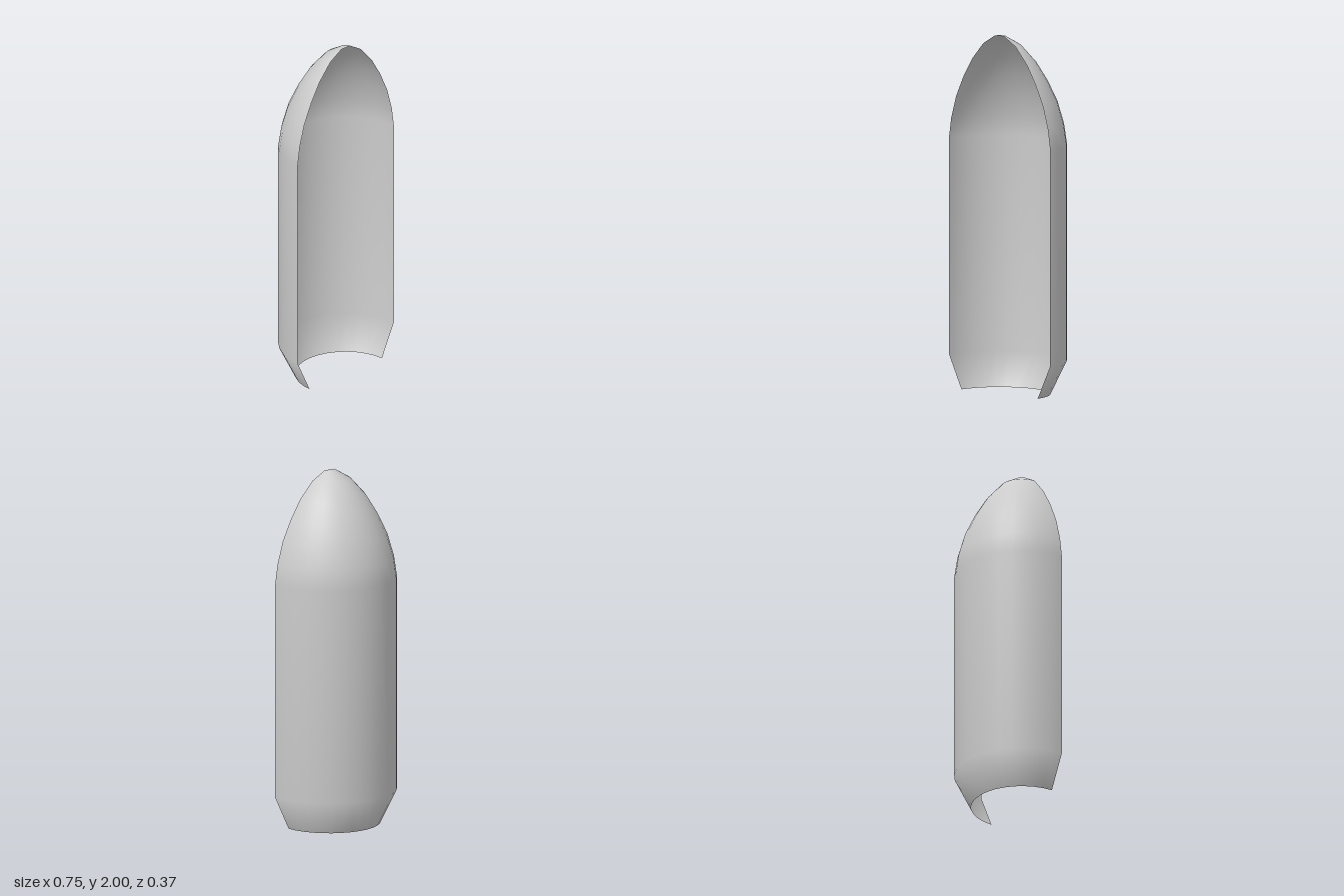
import * as THREE from 'three';

export function createModel() {
  const group = new THREE.Group();
  const material = new THREE.MeshStandardMaterial({ color: 0xcccccc, side: THREE.DoubleSide });
  const zCut = 0.187; // plane of the open front
  const tip = 0.034;

  // Half-round shell: tapered foot, straight wall, pointed nose
  const profile = [
    [0.281, 0], [0.374, 0.19], [0.374, 1.395], [0.357, 1.51], [0.321, 1.635],
    [0.267, 1.75], [0.203, 1.855], [0.119, 1.95], [tip, 2],
  ].map(([r, y]) => new THREE.Vector2(r, y));
  const shell = new THREE.Mesh(new THREE.LatheGeometry(profile, 16, Math.PI / 2, Math.PI), material);
  shell.name = 'halfShell';
  shell.position.z = zCut;

  // Small flat half disc closing the nose
  const cap = new THREE.Mesh(new THREE.CircleGeometry(tip, 16, 0, Math.PI), material);
  cap.name = 'noseCap';
  cap.rotation.x = -Math.PI / 2;
  cap.position.set(0, 2, zCut);

  group.add(shell, cap);
  return group;
}
